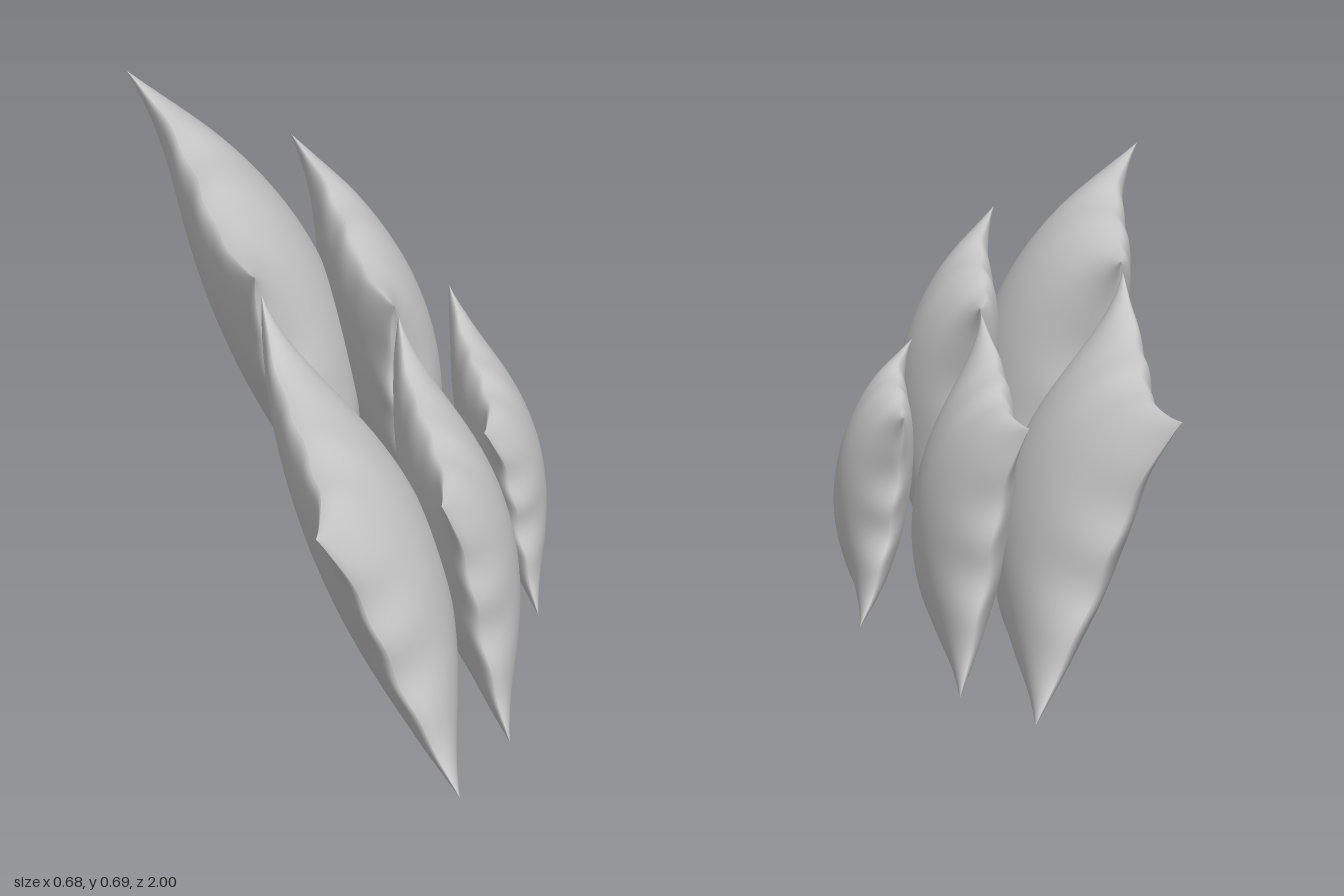
import * as THREE from 'three';

const N = 44; // grid divisions per pillow face

// One face of a pillow. u runs bottom to top, v from the inner to the outer side.
function pillowFace(p, side, mirror) {
  const top = new THREE.Vector2(...p.top), bottom = new THREE.Vector2(...p.bottom);
  const d = top.clone().sub(bottom).normalize();
  const n = new THREE.Vector2(d.y, -d.x); // leaning direction the pillow faces
  const [zIn, zOut] = p.z;
  const depth = side > 0 ? p.front : -p.back;
  const pos = [], index = [];
  for (let i = 0; i <= N; i++) {
    for (let j = 0; j <= N; j++) {
      // denser rows towards the seam
      const u = Math.sin((i / N - 0.5) * Math.PI), v = Math.sin((j / N - 0.5) * Math.PI);
      const c = p.corners[(u > 0 ? 2 : 0) + (v > 0 ? 1 : 0)];
      const base = u > 0 ? top : bottom, zBase = v > 0 ? zOut : zIn;
      const w = Math.abs(u * v) ** 3.2; // corner pull
      let x = THREE.MathUtils.lerp(bottom.x, top.x, (u + 1) / 2) + w * (c[0] - base.x);
      let y = THREE.MathUtils.lerp(bottom.y, top.y, (u + 1) / 2) + w * (c[1] - base.y);
      let z = THREE.MathUtils.lerp(zIn, zOut, (v + 1) / 2) + w * (c[2] - zBase);
      // stuffing bulge, bowed side seams and soft gathers along the seam
      const fill = Math.max(0, (1 - u * u) * (1 - v * v));
      const edgeV = v ** 6 * (1 - u * u), edgeU = u ** 6 * (1 - v * v);
      const h = depth * fill ** 0.54 - p.bow * edgeV
        + 0.004 * (edgeV * Math.sin(11 * u + 1) + edgeU * Math.sin(13 * v));
      x += n.x * h;
      y += n.y * h + 0.003 * edgeU * Math.sin(9 * v + 2);
      z += 0.005 * edgeV * Math.sin(10 * u) * Math.sign(v);
      pos.push(x, y, z * mirror);
    }
  }
  const flip = side * mirror < 0;
  for (let i = 0; i < N; i++) {
    for (let j = 0; j < N; j++) {
      const a = i * (N + 1) + j, b = a + N + 1, c = a + 1, e = b + 1;
      index.push(...(flip ? [a, c, b, b, c, e] : [a, b, c, b, e, c]));
    }
  }
  const g = new THREE.BufferGeometry();
  g.setAttribute('position', new THREE.Float32BufferAttribute(pos, 3));
  g.setIndex(index);
  g.computeVertexNormals();
  return g;
}

// top and bottom: seam middles (x, y); corners: bottom inner, bottom outer, top inner, top outer
const large = {
  top: [-0.28, 0.635], bottom: [-0.05, 0.035], z: [0.075, 0.963],
  corners: [[0.01, 0.02, 0.035], [-0.035, 0.003, 1], [-0.262, 0.697, 0.035], [-0.342, 0.662, 1]],
  front: 0.172, back: 0.08, bow: 0.016,
};
const medium = {
  top: [0.01, 0.567], bottom: [0.1, 0.035], z: [0.055, 0.765],
  corners: [[0.15, 0.015, 0.025], [0.113, 0.003, 0.795], [0.033, 0.604, 0.018], [-0.033, 0.59, 0.795]],
  front: 0.135, back: 0.065, bow: 0.006,
};
const small = {
  top: [0.205, 0.44], bottom: [0.27, 0.035], z: [-0.28, 0.265],
  corners: [[0.3, 0.01, -0.31], [0.276, 0.003, 0.287], [0.208, 0.47, -0.315], [0.16, 0.459, 0.29]],
  front: 0.098, back: 0.055, bow: 0.005,
};

export function createModel() {
  const model = new THREE.Group();
  model.name = 'pillowSet';
  const fabric = new THREE.MeshStandardMaterial({ color: 0xcccccc, roughness: 0.9 });

  function addPillow(name, p, mirror = 1) {
    const pillow = new THREE.Group();
    pillow.name = name;
    for (const [part, side] of [['frontCover', 1], ['backCover', -1]]) {
      const mesh = new THREE.Mesh(pillowFace(p, side, mirror), fabric);
      mesh.name = part;
      pillow.add(mesh);
    }
    model.add(pillow);
  }

  for (const [label, mirror] of [['Front', 1], ['Rear', -1]]) {
    addPillow('largePillow' + label, large, mirror);
    addPillow('mediumPillow' + label, medium, mirror);
  }
  addPillow('smallPillow', small);
  return model;
}
